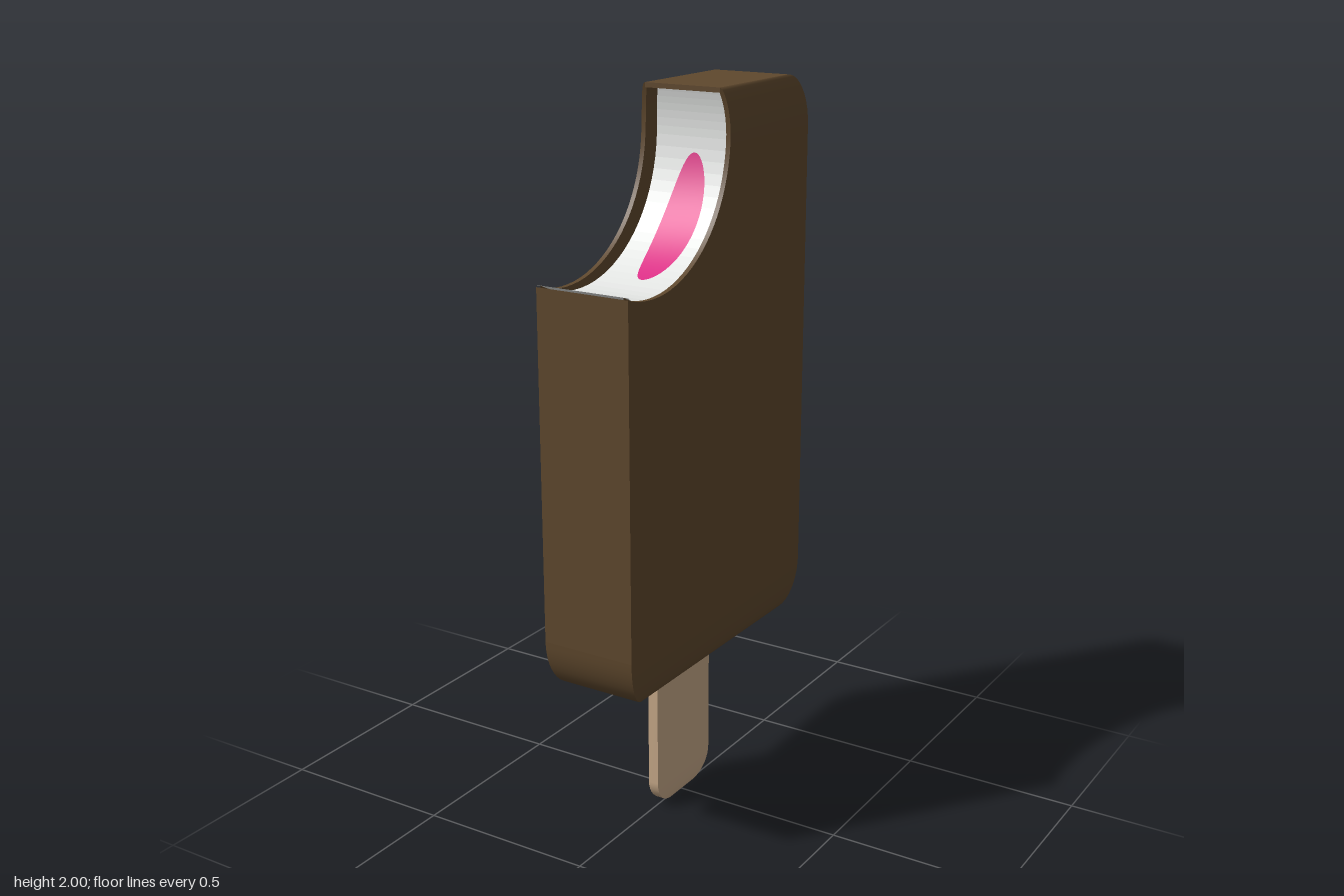
import * as THREE from 'three';

const mat = (name, color) =>
  Object.assign(new THREE.MeshStandardMaterial({ color, side: THREE.DoubleSide }), { name });
const chocolate = mat('chocolate', 0x5f482d);
const vanilla = mat('vanilla', 0xe8eae8);
const strawberry = mat('strawberry', 0xdd2f87);
const wood = mat('wood', 0xc6a888);

const W = 0.135, D = 0.445, LOW = 0.6, HIGH = 1.86, TOP = 2, COAT = 0.013;

// Surface through rows of points; rows run up and columns run right, seen from outside
function grid(rows, flat = false) {
  const n = rows[0].length, index = [];
  for (let i = 0; i < rows.length - 1; i++) {
    for (let j = 0; j < n - 1; j++) {
      const a = i * n + j;
      index.push(a, a + 1, a + n + 1, a, a + n + 1, a + n);
    }
  }
  let geo = new THREE.BufferGeometry();
  geo.setAttribute('position', new THREE.Float32BufferAttribute(rows.flat(2), 3));
  geo.setIndex(index);
  if (flat) geo = geo.toNonIndexed();
  geo.computeVertexNormals();
  return geo;
}

// Rows of a rounded end: y rises from y0 by h while depth and width swell to full size
function roundedRows(y0, h, depth, insetZ, width, insetX) {
  return Array.from({ length: 11 }, (_, i) => {
    const t = (i / 10) * Math.PI / 2, k = 1 - Math.sin(t);
    const z = depth - insetZ * k;
    return { y: y0 + h * (1 - Math.cos(t)), zf: z, zb: -z, w: width - insetX * k };
  });
}

// Four walls around a stack of rectangular rows
function walls(rows, withFront = true) {
  const list = [
    grid(rows.map(({ y, zf, zb, w }) => [[w, y, zf], [w, y, zb]])),
    grid(rows.map(({ y, zf, zb, w }) => [[-w, y, zb], [-w, y, zf]])),
    grid(rows.map(({ y, zb, w }) => [[w, y, zb], [-w, y, zb]])),
  ];
  if (withFront) list.push(grid(rows.map(({ y, zf, w }) => [[-w, y, zf], [w, y, zf]])));
  return list;
}

const bottomCap = ({ y, zf, zb, w }) => grid([[[-w, y, zb], [w, y, zb]], [[-w, y, zf], [w, y, zf]]]);

// Arc of a bite: the point at an angle, and the back point at a height
const arc = (cz, cy, r) => ({
  at: (a) => ({ z: cz - r * Math.cos(a), y: cy - r * Math.sin(a) }),
  zAt: (y) => cz - Math.sqrt(r * r - (y - cy) ** 2),
  lip: Math.acos((cz - D) / r),
  high: Math.asin((cy - HIGH) / r),
});
const outer = arc(0.33, 1.89, 0.36);
const inner = arc(0.28, 1.88, 0.365);

export function createModel() {
  const model = new THREE.Group();
  const add = (name, material, geometries) => {
    const part = new THREE.Group();
    part.name = name;
    geometries.forEach((g) => {
      const mesh = new THREE.Mesh(g, material);
      mesh.name = name;
      part.add(mesh);
    });
    model.add(part);
  };

  // Chocolate coating: rounded bottom, flat middle, rounded top behind the bite
  const low = roundedRows(0.46, LOW - 0.46, D, 0.085, W, 0.023);
  const high = roundedRows(0, TOP - HIGH, D, 0.08, W, 0.023).reverse()
    .map((r) => ({ ...r, y: TOP - r.y, zf: outer.zAt(TOP - r.y) }));
  const last = high[high.length - 1];

  const steps = 24, bite = [];
  for (let i = 0; i <= steps; i++) {
    const t = i / steps;
    bite.push({
      o: outer.at(THREE.MathUtils.lerp(outer.lip, outer.high, t)),
      v: inner.at(THREE.MathUtils.lerp(inner.lip, inner.high, t)),
      w: W,
    });
  }

  const outline = new THREE.Shape([
    new THREE.Vector2(-D, LOW), new THREE.Vector2(D, LOW), new THREE.Vector2(D, HIGH),
    ...bite.map((b) => new THREE.Vector2(-b.o.z, b.o.y)).reverse(),
  ]);
  const rightFace = new THREE.ShapeGeometry(outline).rotateY(Math.PI / 2).translate(W, 0, 0);
  const leftFace = rightFace.clone().translate(-2 * W, 0, 0);
  leftFace.index.array.reverse();
  leftFace.computeVertexNormals();
  const lipY = bite[0].o.y;
  add('chocolateCoating', chocolate, [
    ...walls(low), bottomCap(low[0]), ...walls(high, false),
    rightFace, leftFace,
    grid([[[-W, LOW, D], [W, LOW, D]], [[-W, lipY, D], [W, lipY, D]]]),
    grid([[[W, LOW, -D], [-W, LOW, -D]], [[W, HIGH, -D], [-W, HIGH, -D]]]),
    grid([[[-last.w, TOP, last.zf], [last.w, TOP, last.zf]],
      [[-last.w, TOP, last.zb], [last.w, TOP, last.zb]]]),
  ]);

  // Broken edge of the coating around the bite
  high.slice(1).forEach(({ y, zf, w }) => {
    const vy = Math.min(y, TOP - COAT);
    bite.push({ o: { z: zf, y }, v: { z: inner.zAt(vy), y: vy }, w });
  });
  const end = bite[bite.length - 1], e = end.w, under = TOP - COAT;
  const rim = [];
  for (const s of [-1, 1]) {
    const order = (a) => (s < 0 ? a : a.reverse());
    rim.push(
      grid(bite.map(({ o, w }) => order([[s * w, o.y, o.z], [s * (w - COAT), o.y, o.z]]))),
      grid(bite.map(({ o, v, w }) =>
        order([[s * (w - COAT), o.y, o.z], [s * (w - COAT), v.y, v.z]]))),
    );
  }
  rim.push(
    grid([[[-e, under, end.o.z], [e, under, end.o.z]], [[-e, TOP, end.o.z], [e, TOP, end.o.z]]]),
    grid([[[-e, under, end.v.z], [e, under, end.v.z]],
      [[-e, under, end.o.z], [e, under, end.o.z]]]),
  );
  add('coatingEdge', chocolate, rim);

  // Ice cream bared by the bite, reaching full width at the front lip
  add('iceCream', vanilla, [grid(bite.map(({ v, w }) => {
    const x = v.z > 0.42 ? w : w - COAT + 0.001;
    return [[-x, v.y, v.z], [x, v.y, v.z]];
  }), true)]);

  // Oval filling, a thin skin on the ice cream
  const skin = arc(0.28, 1.88, 0.361);
  add('filling', strawberry, [grid(Array.from({ length: 33 }, (_, i) => {
    const u = -Math.cos((i / 32) * Math.PI);
    const p = skin.at(0.73 - 0.565 * u), x = 0.054 * Math.sqrt(Math.max(0, 1 - u * u));
    return [[-x, p.y, p.z], [x, p.y, p.z]];
  }))]);

  // Wooden stick with a rounded foot
  const stick = roundedRows(0, 0.08, 0.137, 0.09, 0.015, 0.008);
  stick.push({ ...stick[stick.length - 1], y: 0.5 });
  add('stick', wood, [...walls(stick), bottomCap(stick[0])]);

  return model;
}
